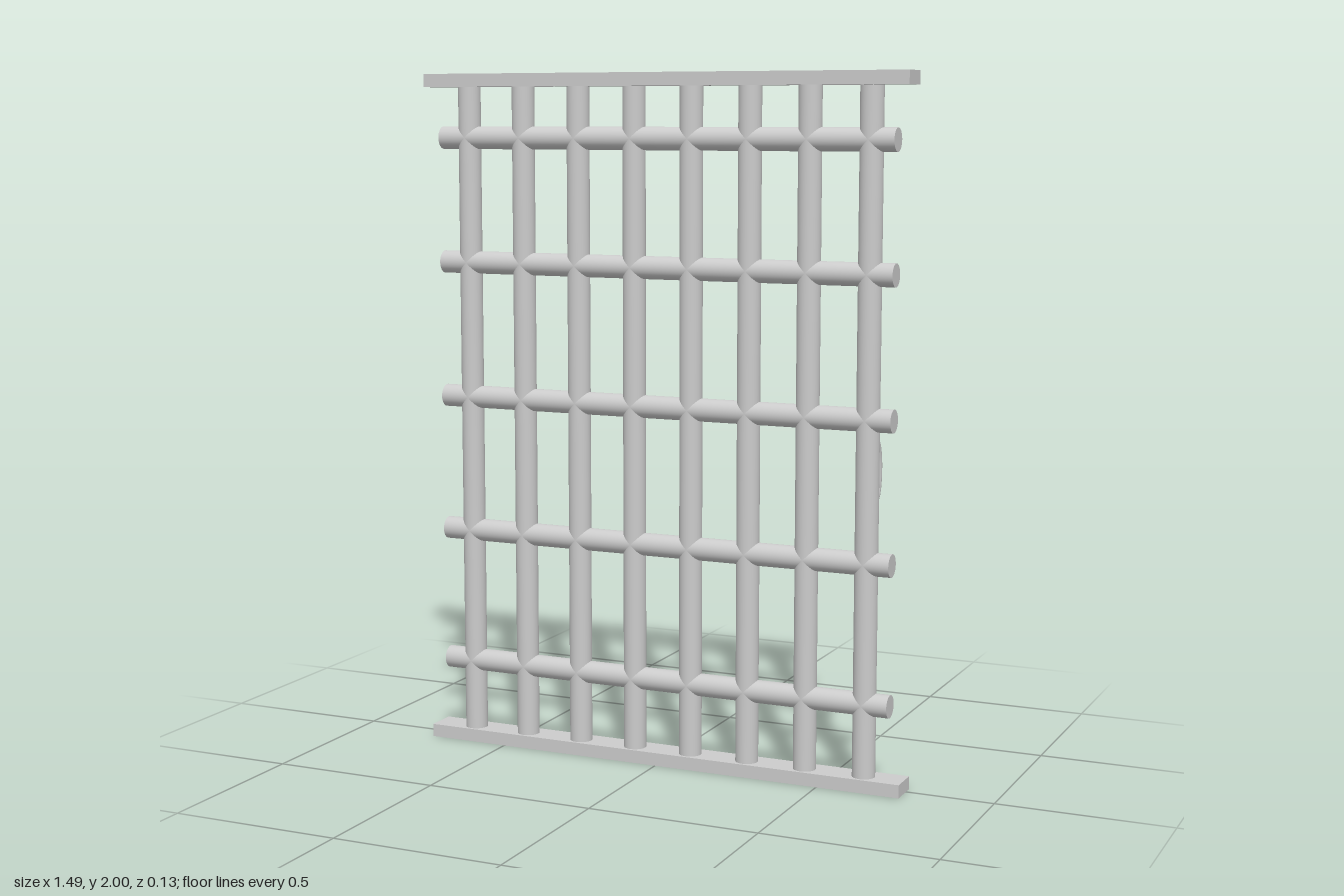
import * as THREE from 'three';

export function createModel() {
  const group = new THREE.Group();
  group.name = 'barredGate';
  const material = new THREE.MeshStandardMaterial({ color: 0xcccccc });
  const barRadius = 0.033;
  const barZ = 0.025;

  const add = (name, geometry, x, y, z) => {
    const mesh = new THREE.Mesh(geometry, material);
    mesh.name = name;
    mesh.position.set(x, y, z);
    group.add(mesh);
    return mesh;
  };

  // Flat rails at the top and bottom
  const railHeight = 0.038;
  const rail = new THREE.BoxGeometry(1.49, railHeight, 0.092);
  add('bottomRail', rail, 0, railHeight / 2, 0.02);
  add('topRail', rail, 0, 2 - railHeight / 2, 0.02);

  // Eight upright bars between the rails
  const upright = new THREE.CylinderGeometry(barRadius, barRadius, 1.96, 32);
  for (let i = 0; i < 8; i++) add('uprightBar', upright, -0.615 + i * 0.1775, 1, barZ);

  // Five crossbars running through the uprights
  const cross = new THREE.CylinderGeometry(barRadius, barRadius, 1.405, 32);
  cross.rotateZ(Math.PI / 2);
  for (const y of [0.247, 0.647, 1.05, 1.45, 1.815]) add('crossBar', cross, 0, y, barZ);

  // Curved pull handle on the back of the last upright
  const path = new THREE.CatmullRomCurve3([
    [0.09, 0.015], [0.09, -0.012], [0.07, -0.035], [0.035, -0.047], [0, -0.05],
    [-0.035, -0.047], [-0.07, -0.035], [-0.09, -0.012], [-0.09, 0.015],
  ].map(([y, z]) => new THREE.Vector3(0, y, z)));
  add('handle', new THREE.TubeGeometry(path, 48, 0.016, 16), 0.628, 0.902, 0);

  return group;
}
